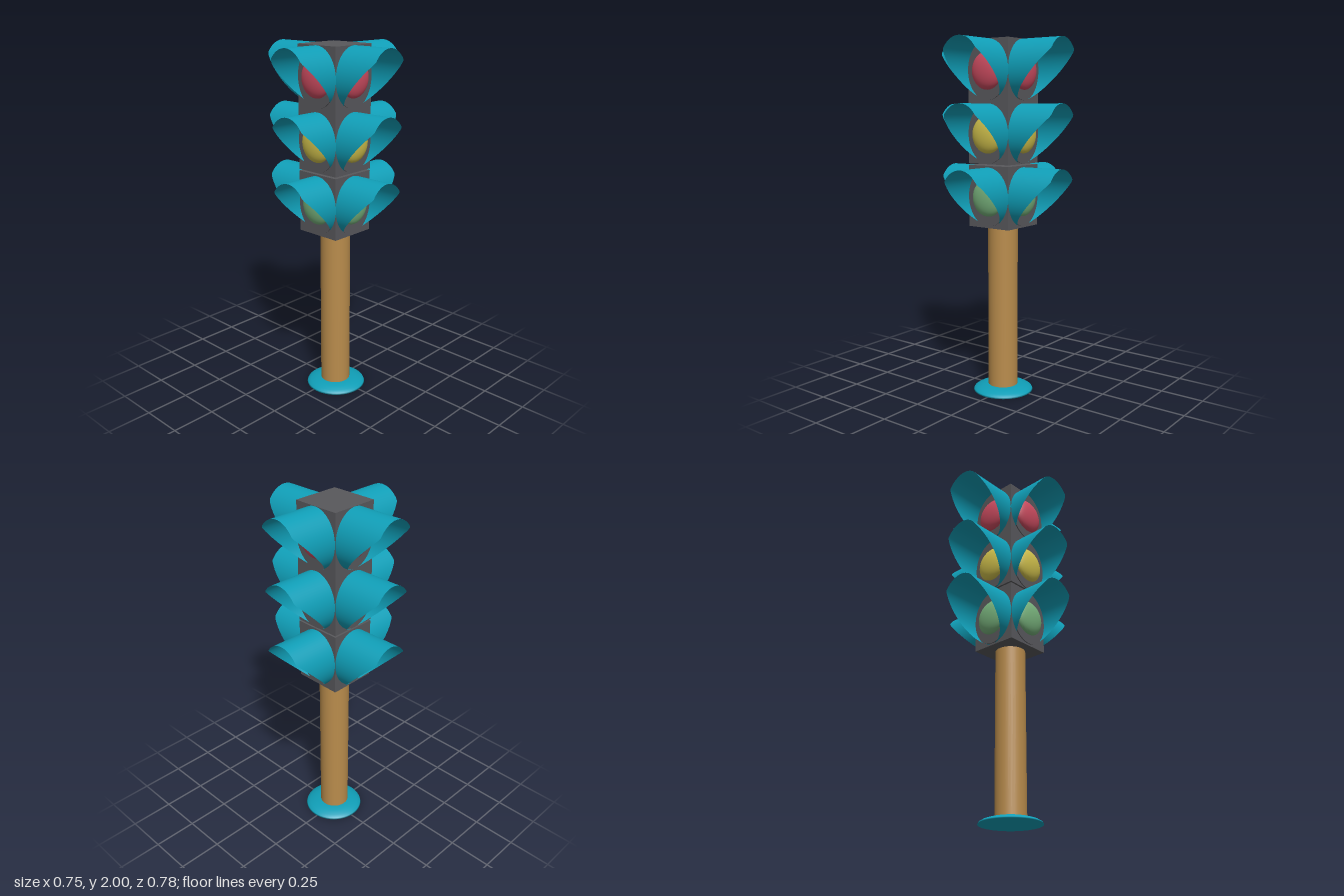
import * as THREE from 'three';

const mat = (color, side = THREE.FrontSide) => new THREE.MeshStandardMaterial({ color, side });
const CX = -0.018, CZ = 0.013; // axis of the housing
const REACH = 0.265, RX = 0.137, RY = 0.165; // visor length and radii

// Open elliptical tube along +z, its lower front cut away at 45 degrees
function visorGeometry() {
  const g = new THREE.CylinderGeometry(1, 1, 1, 64, 1, true);
  g.rotateX(Math.PI / 2);
  g.scale(RX, RY, 1);
  const p = g.attributes.position;
  for (let i = 0; i < p.count; i++) {
    const end = REACH - Math.max(0, 0.1 - p.getY(i));
    p.setZ(i, p.getZ(i) > 0 ? Math.max(0, end) : 0);
  }
  return g;
}

// Shallow dome facing +z
function lensGeometry() {
  const g = new THREE.SphereGeometry(0.103, 32, 10, 0, Math.PI * 2, 0, Math.PI / 2);
  g.rotateX(Math.PI / 2);
  g.scale(1, 1, 0.4);
  return g;
}

export function createModel() {
  const model = new THREE.Group();
  model.name = 'trafficLight';
  const teal = mat(0x109fb8), tealThin = mat(0x109fb8, THREE.DoubleSide);
  const grey = mat(0x58585c), wood = mat(0xb98c4c);

  const add = (parent, name, geometry, material, x, y, z) => {
    const m = new THREE.Mesh(geometry, material);
    m.name = name;
    m.position.set(x, y, z);
    parent.add(m);
    return m;
  };

  // Domed foot with a closed underside
  const foot = [[0, 0], [0.172, 0], [0.168, 0.008], [0.15, 0.019], [0.12, 0.028], [0.085, 0.034], [0, 0.036]]
    .map(([x, y]) => new THREE.Vector2(x, y));
  add(model, 'base', new THREE.LatheGeometry(foot, 48), teal, -0.015, 0, 0.02);

  // Pole
  add(model, 'pole', new THREE.CylinderGeometry(0.085, 0.085, 0.96, 32), wood, CX, 0.5, 0.018);

  // Housing: lower box, narrow gap, upper double box
  add(model, 'lowerHousing', new THREE.BoxGeometry(0.275, 0.346, 0.275), grey, CX, 1.143, CZ);
  add(model, 'upperHousing', new THREE.BoxGeometry(0.275, 0.675, 0.275), grey, CX, 1.6625, CZ);

  const visor = visorGeometry(), lens = lensGeometry();
  const plate = new THREE.CylinderGeometry(1, 1, 0.012, 48);
  plate.rotateX(Math.PI / 2);
  plate.scale(RX - 0.003, RY - 0.003, 1);

  const lamps = [
    { name: 'green', y: 1.142, material: mat(0x78b27c) },
    { name: 'yellow', y: 1.49, material: mat(0xd0c04c) },
    { name: 'red', y: 1.834, material: mat(0xcc4c60) },
  ];
  // Sideways offset, housing face and visor root, measured along each direction
  const sides = [
    { name: 'front', x: CX, face: 0.15, root: 0.125 },
    { name: 'left', x: -0.015, face: 0.12, root: 0.11 },
    { name: 'back', x: -CX, face: 0.125, root: 0.125 },
    { name: 'right', x: 0.015, face: 0.155, root: 0.11 },
  ];
  sides.forEach((s, i) => {
    const side = new THREE.Group();
    side.name = s.name + 'Signals';
    side.rotation.y = i * Math.PI / 2;
    for (const l of lamps) {
      add(side, l.name + 'Backplate', plate, grey, s.x, l.y, s.face);
      add(side, l.name + 'Lens', lens, l.material, s.x, l.y - 0.004, s.face + 0.004);
      add(side, l.name + 'Visor', visor, tealThin, s.x, l.y, s.root);
    }
    model.add(side);
  });
  return model;
}
